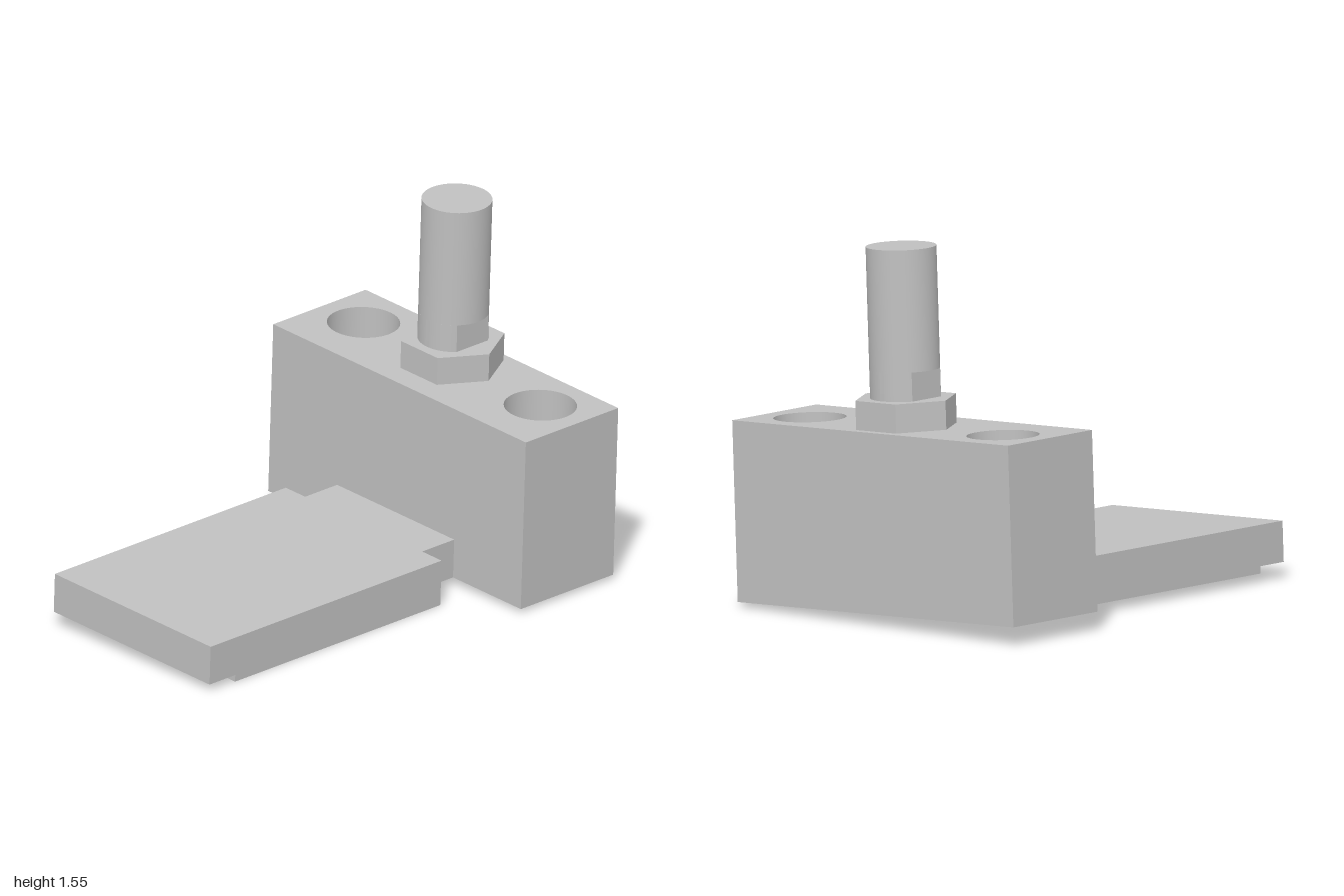
import * as THREE from 'three';
import { toCreasedNormals } from 'three/addons/utils/BufferGeometryUtils.js';

const grey = new THREE.MeshStandardMaterial({ color: 0xc0c0c0 });
grey.name = 'plain grey';

const AXIS_Z = -0.775; // shared centre line of holes and stud
const MID_Z = -0.74;   // middle of the block

export function createModel() {
  const model = new THREE.Group();
  const tilted = new THREE.Group();
  tilted.name = 'bracketAssembly';
  tilted.position.set(-0.002, 0.4235, 0);
  tilted.rotation.z = -0.04;
  model.add(tilted);

  const add = (name, geometry) => {
    const mesh = new THREE.Mesh(geometry, grey);
    mesh.name = name;
    tilted.add(mesh);
    return mesh;
  };

  const box = (name, w, y0, y1, z0, z1) =>
    add(name, new THREE.BoxGeometry(w, y1 - y0, z1 - z0)).position.set(0, (y0 + y1) / 2, (z0 + z1) / 2);

  // Extrudes a plan outline (x, -z) upward from y0 to y1
  const slab = (name, shape, y0, y1) => {
    const g = new THREE.ExtrudeGeometry(shape, { depth: y1 - y0, bevelEnabled: false, curveSegments: 40 });
    g.rotateX(-Math.PI / 2);
    g.translate(0, y0, 0);
    return add(name, toCreasedNormals(g, 0.5));
  };

  const circle = (x, z, r, Type = THREE.Path) => new Type().absarc(x, -z, r, 0, Math.PI * 2, false);

  const hexagon = (x, z, r, Type) => {
    const pts = [];
    for (let i = 0; i < 6; i++) {
      const a = (i * Math.PI) / 3;
      pts.push(new THREE.Vector2(x + r * Math.cos(a), -z + r * Math.sin(a)));
    }
    return new Type(pts);
  };

  // Block outline with the two through holes
  const blockOutline = () => {
    const s = new THREE.Shape([[-0.75, 0.48], [0.75, 0.48], [0.75, 1], [-0.75, 1]]
      .map(([x, y]) => new THREE.Vector2(x, y)));
    for (const side of [-1, 1]) s.holes.push(circle(side * 0.525, AXIS_Z, 0.15));
    return s;
  };
  const floorY = -0.375, pocketY = -0.285;
  slab('blockBody', blockOutline(), pocketY, 0.375);

  // Underside layer with screw slots and dowel holes
  const under = blockOutline();
  for (const side of [-1, 1]) {
    const x = side * 0.236, r = 0.105;
    const slot = new THREE.Path();
    slot.absarc(x, -MID_Z + 0.12, r, 0, Math.PI, false);
    slot.absarc(x, -MID_Z - 0.12, r, Math.PI, Math.PI * 2, false);
    slot.closePath();
    under.holes.push(slot, circle(0, MID_Z + side * 0.148, 0.042));
  }
  slab('blockUnderside', under, floorY, pocketY);

  // Socket head screws
  for (const x of [-0.236, 0.236]) {
    for (const dz of [-0.12, 0.12]) {
      const head = circle(x, MID_Z + dz, 0.1, THREE.Shape);
      head.holes.push(hexagon(x, MID_Z + dz, 0.05, THREE.Path));
      slab('socketScrew', head, floorY + 0.003, pocketY);
    }
  }

  // Tongue plate with neck and stepped underside
  box('plateNeck', 0.695, -0.375, -0.205, -0.48, -0.3);
  box('plateTop', 0.925, -0.375, -0.205, -0.3, 1);
  box('plateStep', 0.925, -0.405, -0.375, -0.3, 0.855);

  // Hex nut
  slab('hexNut', hexagon(0, AXIS_Z, 0.217, THREE.Shape), 0.375, 0.495);

  // Stud: neck with two wrench flats, then the round shaft
  const r = 0.145, a = Math.acos(0.115 / r);
  const flats = new THREE.Shape();
  flats.absarc(0, -AXIS_Z, r, a, Math.PI - a, false);
  flats.absarc(0, -AXIS_Z, r, Math.PI + a, Math.PI * 2 - a, false);
  flats.closePath();
  slab('studWrenchFlats', flats, 0.495, 0.615);
  add('studShaft', new THREE.CylinderGeometry(r, r, 0.505, 64)).position.set(0, 0.8675, AXIS_Z);

  return model;
}
